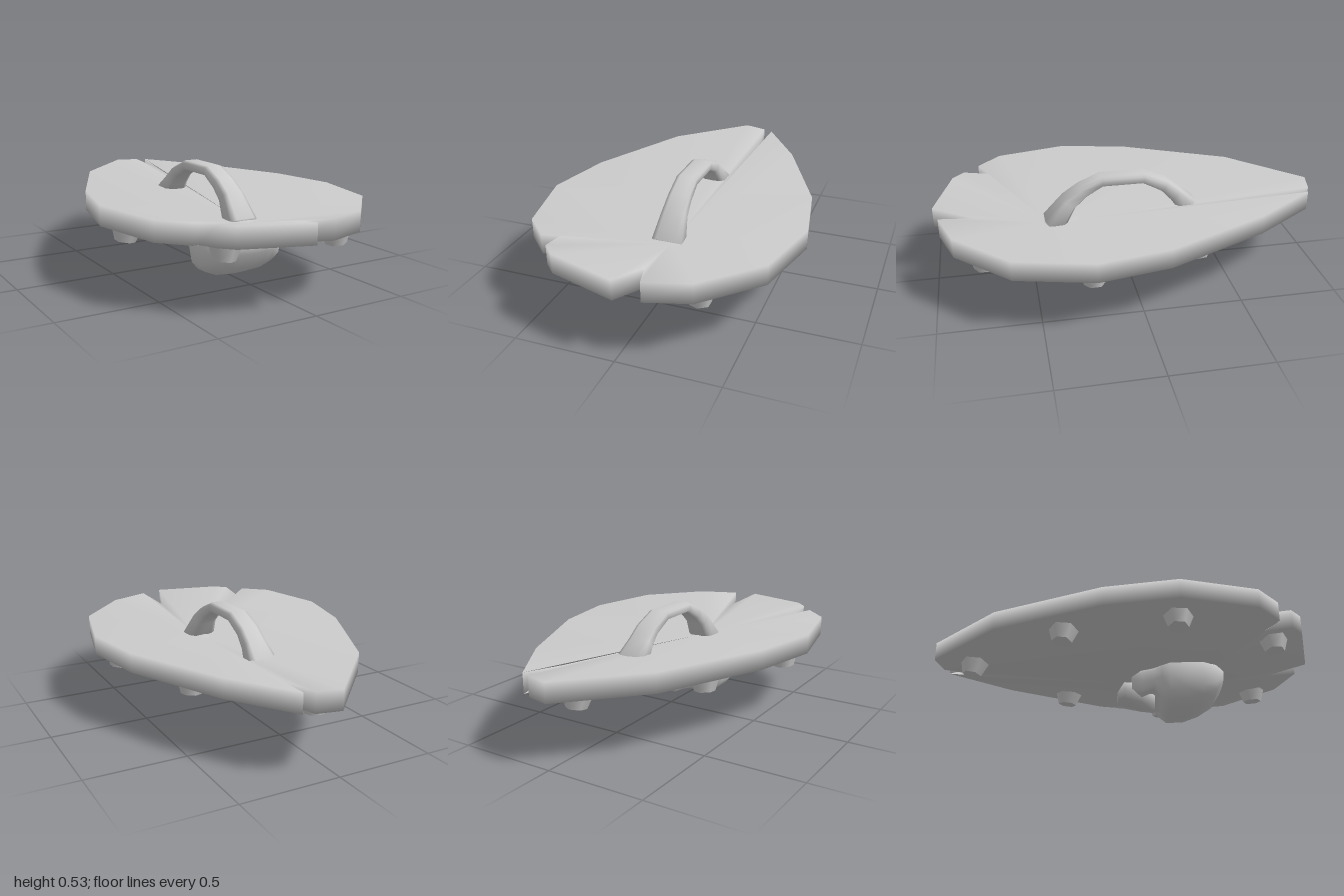
import * as THREE from 'three';
import { mergeVertices } from 'three/addons/utils/BufferGeometryUtils.js';

const material = new THREE.MeshStandardMaterial({ color: 0xcccccc, side: THREE.DoubleSide });

// Skin a list of equally long point loops; a loop shrunk to a point closes an end.
function loft(rings) {
  const n = rings[0].length;
  const index = [];
  for (let i = 0; i < rings.length - 1; i++) {
    for (let j = 0; j < n; j++) {
      const k = (j + 1) % n;
      const a = i * n + j, b = i * n + k, c = a + n, d = b + n;
      index.push(a, b, d, a, d, c);
    }
  }
  let geometry = new THREE.BufferGeometry();
  geometry.setAttribute('position', new THREE.Float32BufferAttribute(rings.flat(2), 3));
  geometry.setIndex(index);
  geometry = mergeVertices(geometry, 1e-4);
  geometry.computeVertexNormals();
  return geometry;
}

function addMesh(parent, name, geometry) {
  const mesh = new THREE.Mesh(geometry, material);
  mesh.name = name;
  parent.add(mesh);
  return mesh;
}

const soft = (v, p) => Math.sign(v) * Math.pow(Math.abs(v), p);

// Dished plate: x, z and drop below the rim, with three notches broken out of the edge
function shieldPlate() {
  const outline = [
    [0, -1, 0], [0.12, -0.97, 0], [0.147, -0.7, 0.03], [0.17, -0.95, 0],
    [0.38, -0.63, 0], [0.61, -0.11, 0], [0.67, 0.25, 0], [0.58, 0.63, 0],
    [0.33, 0.89, 0], [0.12, 0.96, 0], [0.065, 0.79, 0.04], [0, 0.99, 0],
    [-0.34, 0.89, 0], [-0.4, 0.83, 0], [-0.4, 0.69, 0.02], [-0.47, 0.75, 0],
    [-0.59, 0.63, 0], [-0.67, 0.25, 0], [-0.59, -0.11, 0], [-0.34, -0.65, 0],
  ];
  const edge = (y) => outline.map(([x, z, drop]) => [x, y - drop - 0.016 * x, z]);
  const pole = (x, y, z) => outline.map(() => [x, y, z]);
  return loft([pole(0.03, 0.285, 0.4), edge(0.412), edge(0.312), pole(0.03, 0.187, 0.36)]);
}

// Arched grip with flared feet: z, y, half width, half thickness
function gripHandle() {
  const path = [
    [0.385, 0.28, 0.078, 0.055], [0.3, 0.4, 0.06, 0.038], [0.23, 0.455, 0.056, 0.032],
    [0.13, 0.506, 0.054, 0.026], [-0.09, 0.506, 0.054, 0.026], [-0.2, 0.455, 0.056, 0.03],
    [-0.26, 0.4, 0.06, 0.035], [-0.335, 0.32, 0.078, 0.05],
  ];
  const rings = path.map(([z, y, w, t], i) => {
    const p = path[Math.max(i - 1, 0)], q = path[Math.min(i + 1, path.length - 1)];
    const length = Math.hypot(q[0] - p[0], q[1] - p[1]);
    const nz = (q[1] - p[1]) / length, ny = -(q[0] - p[0]) / length;
    return Array.from({ length: 8 }, (_, j) => {
      const a = -(j + 0.5) * Math.PI / 4;
      const across = soft(Math.cos(a), 0.5) * w * 1.04, out = soft(Math.sin(a), 0.5) * t * 1.04;
      return [0.015 + across, y + ny * out, z + nz * out];
    });
  });
  const cap = ([z, y]) => rings[0].map(() => [0.015, y, z]);
  return loft([cap(path[0]), ...rings, cap(path[path.length - 1])]);
}

// Loft along z from z, half width, bottom, top
function lumpRings(sections, sides, power) {
  return sections.map(([z, w, low, high]) => Array.from({ length: sides }, (_, j) => {
    const a = -j / sides * Math.PI * 2;
    return [0.015 + w * soft(Math.cos(a), power),
      (low + high) / 2 + (high - low) / 2 * soft(Math.sin(a), power), z];
  }));
}

// Skull-like boss: round cranium, brow, hollow eyes and a blunt muzzle
function bossCranium() {
  const geometry = loft(lumpRings([
    [0.53, 0, 0.2, 0.2], [0.525, 0.12, 0.16, 0.24], [0.48, 0.175, 0.085, 0.28],
    [0.41, 0.21, 0.04, 0.3], [0.33, 0.215, 0.008, 0.3], [0.24, 0.205, 0, 0.3],
    [0.2, 0.18, 0.03, 0.28], [0.16, 0.155, 0.04, 0.26], [0.1, 0.125, 0.05, 0.25],
    [0.05, 0.1, 0.1, 0.21], [0.05, 0, 0.15, 0.15],
  ], 16, 0.75));
  const p = geometry.attributes.position;
  for (let i = 0; i < p.count; i++) {
    // Press in the two eye sockets
    const reach = Math.hypot(Math.abs(p.getX(i) - 0.015) - 0.085, p.getZ(i) - 0.16);
    if (p.getY(i) < 0.15 && reach < 0.065) p.setY(i, p.getY(i) + 0.07 * (1 - reach / 0.09));
  }
  geometry.computeVertexNormals();
  return geometry;
}

function bossJaw() {
  return loft(lumpRings([
    [0.17, 0, 0.1, 0.1], [0.17, 0.07, 0.035, 0.15], [0.1, 0.085, 0.045, 0.18],
    [0.01, 0.095, 0.068, 0.18], [-0.025, 0.075, 0.07, 0.12], [-0.025, 0, 0.09, 0.09],
  ], 8, 0.7));
}

export function createModel() {
  const model = new THREE.Group();
  model.name = 'shield';

  addMesh(model, 'shieldPlate', shieldPlate());
  addMesh(model, 'gripHandle', gripHandle());

  const boss = new THREE.Group();
  boss.name = 'skullBoss';
  addMesh(boss, 'cranium', bossCranium());
  addMesh(boss, 'jaw', bossJaw());
  model.add(boss);

  // Studs on the underside, tilted to follow the slope
  const studGeometry = new THREE.CylinderGeometry(0.078, 0.05, 0.08, 6);
  const up = new THREE.Vector3(0, 1, 0);
  const addStud = (x, z) => {
    const stud = addMesh(model, 'stud', studGeometry);
    stud.position.set(x, 0.267 - 0.016 * x, z);
    stud.quaternion.setFromUnitVectors(up, new THREE.Vector3(-0.3 * x, 1, -0.15 * (z - 0.36)).normalize());
  };
  for (const side of [-1, 1]) {
    for (const [x, z] of [[0.38, -0.3], [0.54, 0.25], [0.31, 0.75]]) addStud(side * x, z);
  }
  addStud(0, -0.79);

  return model;
}
